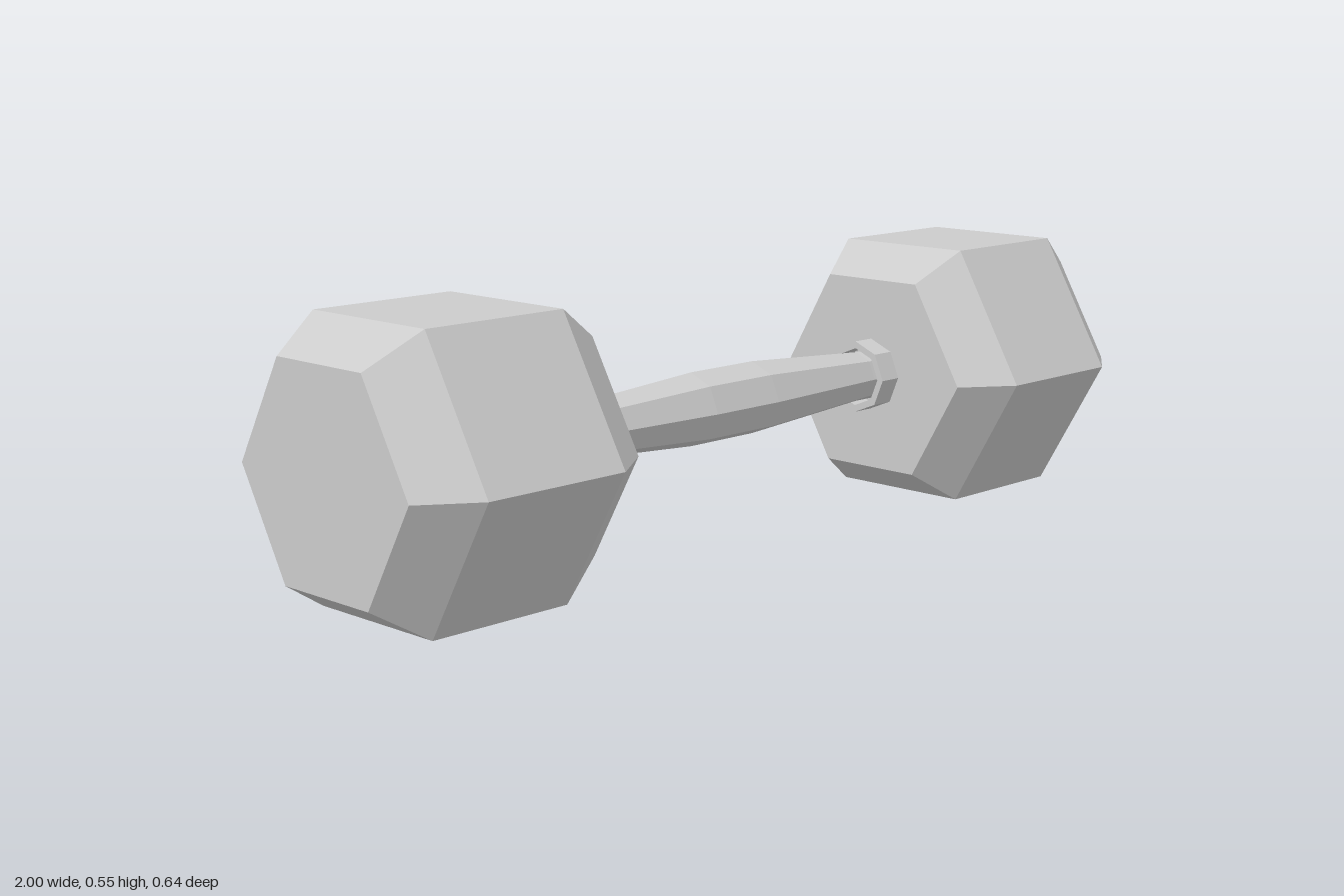
import * as THREE from 'three';

const AXIS_Y = 0.276;
const material = new THREE.MeshStandardMaterial({ color: 0xcccccc, flatShading: true });

// Revolve [radius, distance] pairs, with the lathe axis laid along x
function turned(name, profile, sides, direction = 1) {
  const points = profile.map(([r, d]) => new THREE.Vector2(r, d));
  const mesh = new THREE.Mesh(new THREE.LatheGeometry(points, sides), material);
  mesh.rotation.z = -direction * Math.PI / 2;
  mesh.position.y = AXIS_Y;
  mesh.name = name;
  return mesh;
}

export function createModel() {
  const model = new THREE.Group();
  model.name = 'dumbbell';

  // Grip that swells towards the middle
  const half = [[0.076, 0.09], [0.064, 0.27], [0.054, 0.42], [0.054, 0.48]];
  const mirrored = half.map(([r, d]) => [r, -d]).reverse();
  model.add(turned('handle', [...mirrored, ...half], 8));

  for (const [side, direction] of [['left', 1], ['right', -1]]) {
    // Hexagonal weight with bevelled ends
    model.add(turned(side + 'Weight', [
      [0, 0.47], [0.241, 0.47], [0.318, 0.576], [0.318, 0.892], [0.241, 1], [0, 1],
    ], 6, direction));

    // Hollow collar between weight and grip
    model.add(turned(side + 'Collar', [
      [0.063, 0.475], [0.063, 0.418], [0.078, 0.418], [0.078, 0.475],
    ], 8, direction));
  }
  return model;
}
